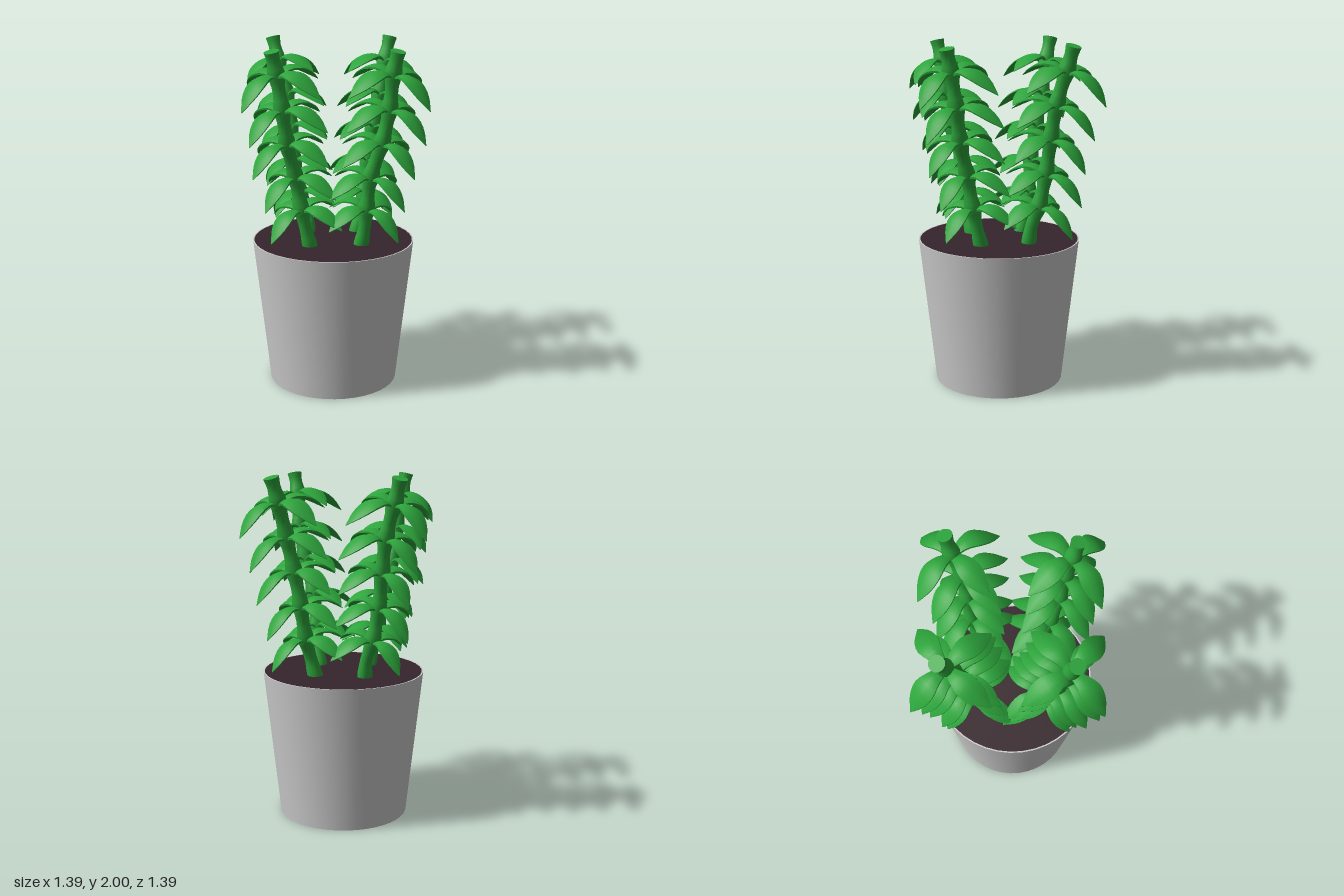
import * as THREE from 'three';
import { toCreasedNormals } from 'three/addons/utils/BufferGeometryUtils.js';

const green = new THREE.MeshStandardMaterial({ color: 0x2da53c });
const soilBrown = new THREE.MeshStandardMaterial({ color: 0x35242b });
const grey = new THREE.MeshStandardMaterial({ color: 0xcccccc });

// Apply a rule to every vertex, then recompute normals with sharp edges kept.
function reshape(geometry, rule) {
  const pos = geometry.attributes.position;
  const v = new THREE.Vector3();
  for (let i = 0; i < pos.count; i++) {
    rule(v.fromBufferAttribute(pos, i));
    pos.setXYZ(i, v.x, v.y, v.z);
  }
  return toCreasedNormals(geometry, 0.7);
}

const curve2 = pts => new THREE.SplineCurve(pts.map(p => new THREE.Vector2(...p)));

// Leaf: arched blade along +x, pointed at the tip and domed across its width.
function leafGeometry() {
  const spine = curve2([[0.02, -0.01], [0.08, 0.015], [0.15, 0.005], [0.22, -0.045], [0.285, -0.115]]);
  const halfWidth = curve2([[0, 0.022], [0.25, 0.042], [0.5, 0.062], [0.75, 0.048], [1, 0.002]]);
  return reshape(new THREE.BoxGeometry(1, 1, 1, 10, 1, 4), v => {
    const t = v.x + 0.5;
    const across = v.z * 2;
    const p = spine.getPoint(t);
    const w = halfWidth.getPoint(t).y;
    const thickness = 0.014 * (1 - 0.8 * t);
    v.set(p.x, p.y + v.y * thickness - 0.016 * across * across * (w / 0.06), across * w);
  });
}

// Stem: a bent cylinder swollen at every leaf node.
function stemGeometry(path, nodes) {
  const radiusAt = y => {
    let r = 0.036;
    for (const n of nodes) r += 0.013 * Math.exp(-(((y - n) / 0.045) ** 2));
    return r + 0.008 * THREE.MathUtils.smoothstep(y, 1.93, 1.99) + 0.008 * THREE.MathUtils.smoothstep(-y, -0.95, -0.86);
  };
  return reshape(new THREE.CylinderGeometry(1, 1, 1, 12, 36), v => {
    const t = v.y + 0.5;
    const p = path.getPoint(t);
    const d = path.getTangent(t);
    const r = radiusAt(p.y);
    v.set(p.x + v.x * r * d.y, p.y - v.x * r * d.x, p.z + v.z * r);
  });
}

// Parameter on a rising path where it reaches height y.
function paramAtHeight(path, y) {
  let lo = 0, hi = 1;
  for (let i = 0; i < 30; i++) {
    const mid = (lo + hi) / 2;
    if (path.getPoint(mid).y < y) lo = mid; else hi = mid;
  }
  return lo;
}

const leafShape = leafGeometry();
const nodeHeights = [1.08, 1.27, 1.47, 1.66, 1.85];

// Stalk leaning out along +x with five whorls of four leaves.
function createStalk(points, lean) {
  const stalk = new THREE.Group();
  stalk.name = 'stalk';
  const path = new THREE.CatmullRomCurve3(points.map(([x, y, z]) => new THREE.Vector3(x, y, z)));
  const stem = new THREE.Mesh(stemGeometry(path, nodeHeights), green);
  stem.name = 'stem';
  stalk.add(stem);

  nodeHeights.forEach((y, tier) => {
    const whorl = new THREE.Group();
    whorl.name = 'leafWhorl';
    whorl.position.copy(path.getPoint(paramAtHeight(path, y)));
    whorl.rotation.z = -lean;
    whorl.scale.setScalar(0.92 + 0.02 * tier);
    for (let k = 0; k < 4; k++) {
      const leaf = new THREE.Mesh(leafShape, green);
      leaf.name = 'leaf';
      // Side leaves turn slightly towards the middle of the plant.
      const turn = k === 1 ? 0.1 : k === 3 ? -0.1 : 0;
      leaf.rotation.y = k * Math.PI / 2 + turn + 0.05 * Math.sin(tier * 2.3 + k);
      whorl.add(leaf);
    }
    stalk.add(whorl);
  });
  return stalk;
}

export function createModel() {
  const model = new THREE.Group();
  model.name = 'pottedPlant';

  // Tapered pot with a shallow recess underneath
  const profile = [[0, 0.03], [0.28, 0.03], [0.28, 0], [0.375, 0], [0.468, 0.853], [0.46, 0.853], [0.458, 0.846]];
  const potShape = new THREE.LatheGeometry(profile.map(p => new THREE.Vector2(...p)), 40);
  const pot = new THREE.Mesh(toCreasedNormals(potShape, 0.5), grey);
  pot.name = 'pot';
  pot.position.set(-0.008, 0, 0.008);
  model.add(pot);

  // Soil filling the pot to the brim
  const soil = new THREE.Mesh(new THREE.CylinderGeometry(0.462, 0.45, 0.06, 40), soilBrown);
  soil.name = 'soil';
  soil.position.set(-0.008, 0.822, 0.008);
  model.add(soil);

  // Two slightly different stalks, each used twice around the pot
  const stalkA = [[0.2, 0.84, 0], [0.225, 0.95, 0.01], [0.27, 1.08, 0], [0.31, 1.28, -0.01],
    [0.345, 1.47, 0], [0.39, 1.67, 0.01], [0.445, 1.85, 0], [0.487, 1.982, 0]];
  const stalkB = [[0.205, 0.84, -0.015], [0.235, 0.95, -0.01], [0.262, 1.08, 0], [0.295, 1.26, 0.01],
    [0.365, 1.46, 0], [0.41, 1.66, -0.01], [0.44, 1.85, 0], [0.472, 1.972, 0]];
  for (const turn of [0, Math.PI / 2]) {
    const a = createStalk(stalkA, 0.24);
    a.rotation.y = turn;
    const b = createStalk(stalkB, 0.22);
    b.rotation.y = turn + Math.PI;
    model.add(a, b);
  }
  return model;
}
